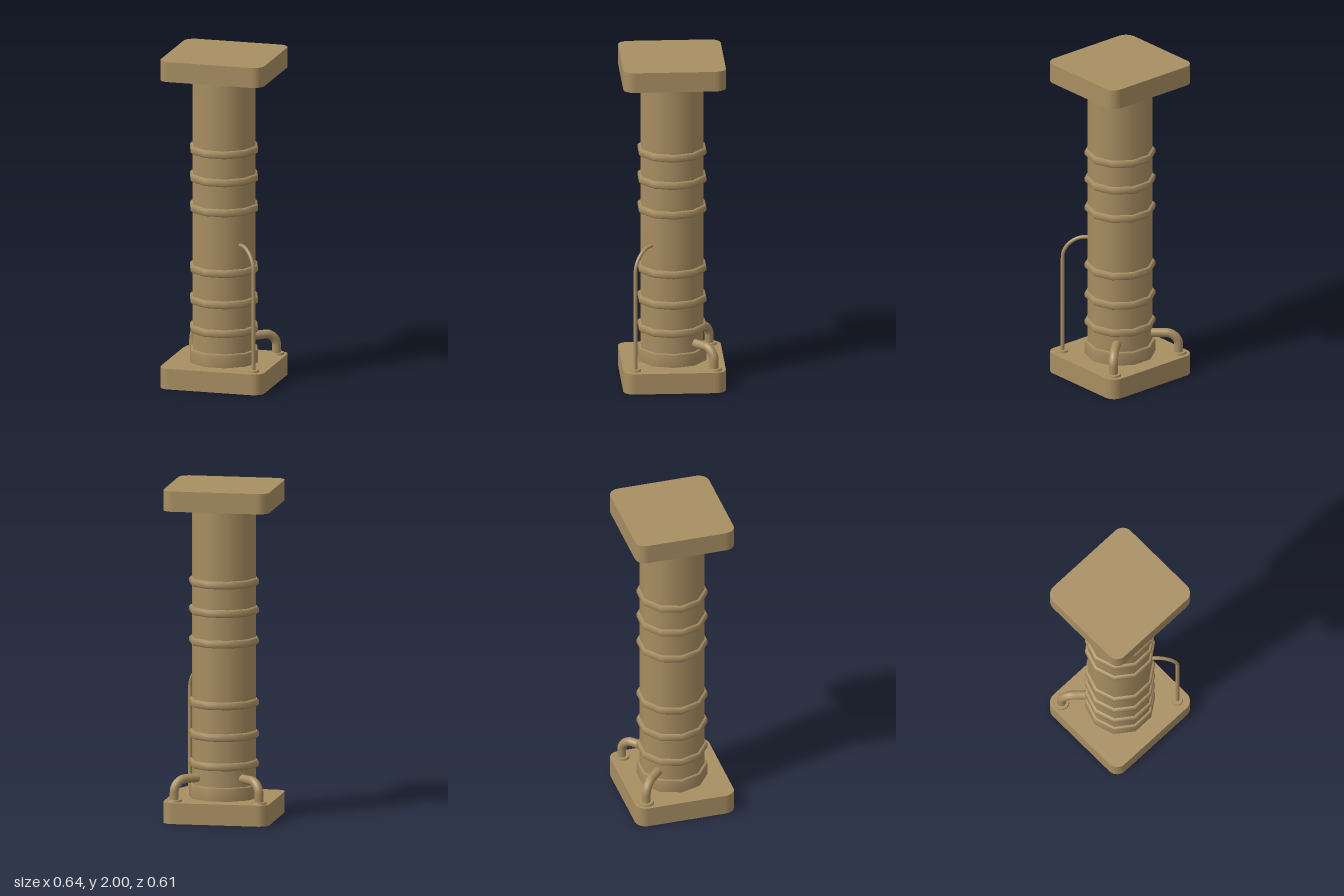
import * as THREE from 'three';

const SIDES = 10;
const material = new THREE.MeshStandardMaterial({ color: 0xa88e62 });

function add(parent, name, geometry, y = 0) {
  const mesh = new THREE.Mesh(geometry, material);
  mesh.name = name;
  mesh.position.y = y;
  parent.add(mesh);
  return mesh;
}

// Rounded rectangular slab lying flat, from y = 0 up to height
function slabGeometry(hx, hz, radius, height) {
  const s = new THREE.Shape();
  const corners = [[1, 1, 0], [-1, 1, 1], [-1, -1, 2], [1, -1, 3]];
  for (const [sx, sz, q] of corners) {
    s.absarc(sx * (hx - radius), sz * (hz - radius), radius, q * Math.PI / 2, (q + 1) * Math.PI / 2, false);
  }
  s.closePath();
  return new THREE.ExtrudeGeometry(s, { depth: height, bevelEnabled: false, curveSegments: 5 }).rotateX(-Math.PI / 2);
}

// Ten-sided bevelled band around the column
function bandGeometry(radius, height, bevel) {
  const h = height / 2, inner = 0.17;
  const profile = [
    [inner, -h], [radius - bevel, -h], [radius, -h + bevel],
    [radius, h - bevel], [radius - bevel, h], [inner, h],
  ].map(([x, y]) => new THREE.Vector2(x, y));
  return new THREE.LatheGeometry(profile, SIDES).rotateY(Math.PI / 2);
}

// Pipe rising from the base at (x, z), bending inward to meet the column
function addPipe(parent, name, { x, z, top, bend, radius, flange, endRadius }) {
  const group = new THREE.Group();
  group.name = name;
  const dist = Math.hypot(x, z);
  const at = (r, y) => new THREE.Vector3(x / dist * r, y, z / dist * r);
  const path = new THREE.CurvePath();
  const k = 0.45 * bend;
  path.add(new THREE.LineCurve3(at(dist, 0.12), at(dist, top - bend)));
  path.add(new THREE.CubicBezierCurve3(
    at(dist, top - bend), at(dist, top - k), at(dist - bend + k, top), at(dist - bend, top)));
  path.add(new THREE.LineCurve3(at(dist - bend, top), at(endRadius, top)));
  add(group, name + 'Tube', new THREE.TubeGeometry(path, 48, radius, 12, false));
  const plate = add(group, name + 'Flange', new THREE.CylinderGeometry(flange * 0.92, flange, 0.014, 16), 0.131);
  plate.position.x = x;
  plate.position.z = z;
  parent.add(group);
}

export function createModel() {
  const model = new THREE.Group();
  model.name = 'column';

  // Base and capital slabs
  add(model, 'base', slabGeometry(0.32, 0.305, 0.065, 0.126));
  add(model, 'capital', slabGeometry(0.32, 0.305, 0.065, 0.122), 1.878);

  // Shaft with a collar at its foot
  add(model, 'shaft', new THREE.CylinderGeometry(0.194, 0.194, 1.78, SIDES).rotateY(Math.PI / 2), 1.0);
  add(model, 'footCollar', bandGeometry(0.21, 0.09, 0.008), 0.162);

  // Two sets of three bands
  for (const y of [0.331, 0.507, 0.698, 1.069, 1.253, 1.424]) {
    add(model, 'band', bandGeometry(0.21, 0.046, 0.01), y);
  }

  // Thick elbow pipes at the two back corners
  for (const side of [-1, 1]) {
    addPipe(model, side > 0 ? 'leftElbowPipe' : 'rightElbowPipe', {
      x: side * 0.256, z: -0.235, top: 0.255, bend: 0.07, radius: 0.027, flange: 0.048, endRadius: 0.165,
    });
  }

  // Thin tall pipe at the front left corner
  addPipe(model, 'thinPipe', {
    x: 0.25, z: 0.232, top: 0.868, bend: 0.13, radius: 0.011, flange: 0.034, endRadius: 0.17,
  });

  return model;
}
